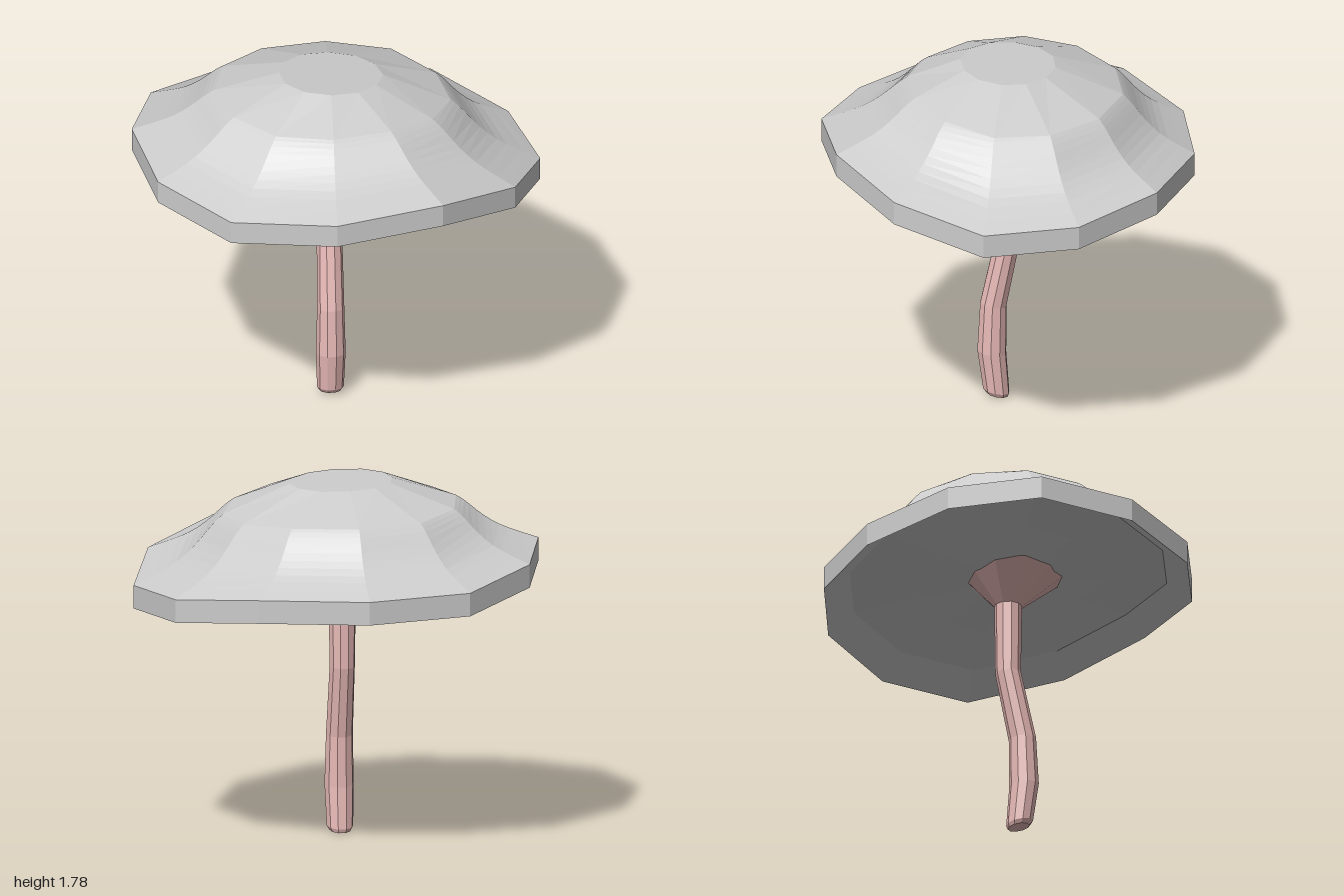
import * as THREE from 'three';

// Skin a list of closed rings (arrays of Vector3, counter-clockwise seen from above, listed bottom to top).
function loft(rings) {
  const n = rings[0].length, pos = [], index = [];
  rings.forEach(r => r.forEach(p => pos.push(p.x, p.y, p.z)));
  for (let i = 0; i < rings.length - 1; i++) {
    for (let j = 0; j < n; j++) {
      const a = i * n + j, b = i * n + (j + 1) % n, c = a + n, d = b + n;
      index.push(a, b, d, a, d, c);
    }
  }
  // Close both ends with a fan
  const close = (ring, start, flip) => {
    const c = ring.reduce((s, p) => s.add(p), new THREE.Vector3()).divideScalar(n);
    const k = pos.length / 3;
    pos.push(c.x, c.y, c.z);
    for (let j = 0; j < n; j++) {
      const a = start + j, b = start + (j + 1) % n;
      flip ? index.push(k, b, a) : index.push(k, a, b);
    }
  };
  close(rings[0], 0, true);
  close(rings[rings.length - 1], (rings.length - 1) * n, false);
  const g = new THREE.BufferGeometry();
  g.setAttribute('position', new THREE.Float32BufferAttribute(pos, 3));
  g.setIndex(index);
  const flat = g.toNonIndexed();
  flat.computeVertexNormals();
  return flat;
}

function createCap() {
  // Upper edge of the wavy rim
  const rim = [
    [1, 1.27, 0.05], [0.88, 1.28, -0.41], [0.53, 1.33, -0.77], [0.01, 1.33, -0.92],
    [-0.51, 1.34, -0.83], [-0.87, 1.41, -0.51], [-1, 1.46, -0.07], [-0.91, 1.43, 0.41],
    [-0.58, 1.39, 0.77], [-0.07, 1.43, 0.92], [0.46, 1.46, 0.81], [0.84, 1.37, 0.5],
  ].map(p => new THREE.Vector3(...p));
  const lowerRim = rim.map(p => p.clone().setY(p.y - 0.115));

  // Small flat crown
  const crown = rim.map(p => {
    const x = -0.025 + p.x * 0.255, z = p.z * 0.255;
    return new THREE.Vector3(x, 1.765 - 0.04 * x + 0.05 * z, z);
  });

  // Recessed underside: a sloping inner rim, then a shallow ceiling
  const centre = new THREE.Vector3(-0.01, 1.37, 0.02);
  const under = (t, lift) => lowerRim.map(p => {
    const q = p.clone().lerp(centre, t);
    q.y += lift;
    return q;
  });

  // Bell profile: outward fraction against fraction of the drop from crown to rim
  const bell = new THREE.SplineCurve([
    [0.42, 0.3], [0.46, 0.355], [0.51, 0.44], [0.58, 0.57], [0.65, 0.68], [0.73, 0.78], [0.83, 0.87], [1, 1],
  ].map(p => new THREE.Vector2(...p))).getPoints(10).reverse();
  const dome = bell.map(({ x, y: d }) => rim.map((p, j) => {
    const c = crown[j];
    const f = x + (0.01 - 0.05 * p.z) * (1 - x) * 2; // the bell leans to the back
    return new THREE.Vector3(
      c.x + (p.x - c.x) * f, c.y + (p.y - c.y) * d, c.z + (p.z - c.z) * f);
  }));
  return loft([under(0.8, 0.01), under(0.48, 0.05), under(0.14, 0.08), lowerRim, ...dome, crown]);
}

function createStem() {
  // Each ring: height, x and z of the centre, radius, slope of the ring towards the front
  const sections = [
    [0.014, -0.033, 0.053, 0.054, 0.2], [0.035, -0.033, 0.058, 0.066, 0.2],
    [0.24, -0.033, 0.08, 0.073, 0.15], [0.49, -0.033, 0.072, 0.067, 0.15],
    [0.84, -0.033, 0, 0.063, 0.1], [1.2, -0.033, 0, 0.068, 0], [1.39, -0.01, 0.035, 0.26, 0],
  ];
  const sides = 10;
  return loft(sections.map(([y, x, z, r, slope]) => Array.from({ length: sides }, (_, j) => {
    const a = j / sides * Math.PI * 2;
    const dz = -Math.sin(a) * r;
    return new THREE.Vector3(x + Math.cos(a) * r, y + slope * dz, z + dz);
  })));
}

export function createModel() {
  const group = new THREE.Group();
  group.name = 'mushroom';
  const add = (name, geometry, color) => {
    const mesh = new THREE.Mesh(geometry, new THREE.MeshStandardMaterial({ color, flatShading: true }));
    mesh.name = name;
    group.add(mesh);
  };
  add('cap', createCap(), 0xcccccc);
  add('stem', createStem(), 0xe8bab7);
  return group;
}
